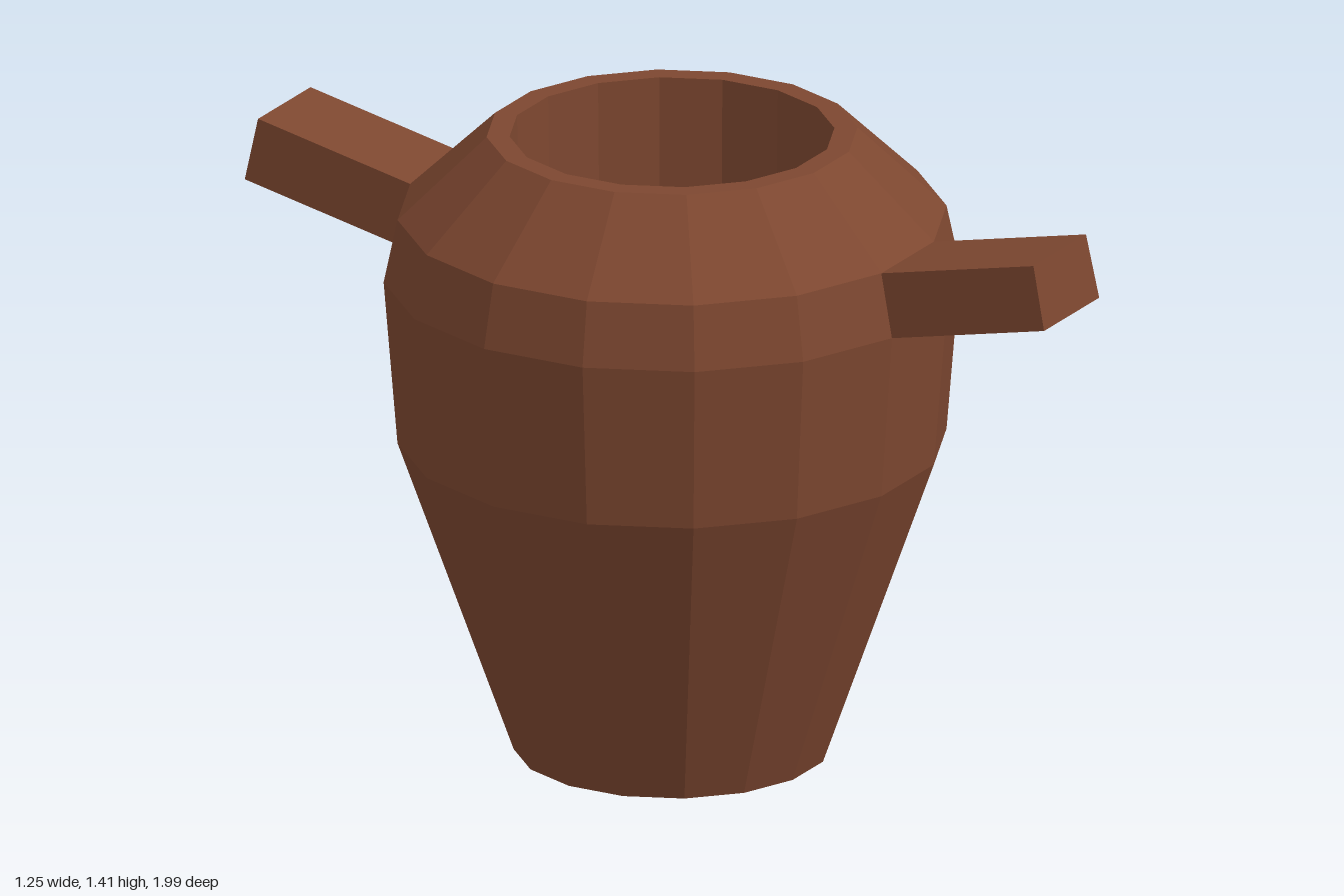
import * as THREE from 'three';

const SIDES = 16;
const clay = new THREE.MeshStandardMaterial({ color: 0x7d4730, flatShading: true });

// Point on a ring of the pot; angle 0 is the front (+z)
const ringPoint = (r, y, angle) =>
  new THREE.Vector3(r * Math.sin(angle), y, r * Math.cos(angle));

// Handle: one facet of the pot's belly pulled outward and upward
function handleGeometry() {
  const step = (Math.PI * 2) / SIDES;
  const pull = new THREE.Vector3(0.073, 0.083, 0.37);
  const geometry = new THREE.BoxGeometry(1, 1, 1);
  const pos = geometry.attributes.position;
  for (let i = 0; i < pos.count; i++) {
    const top = pos.getY(i) > 0;
    const p = ringPoint(top ? 0.595 : 0.625, top ? 1.222 : 1.08, pos.getX(i) > 0 ? step : 0);
    if (pos.getZ(i) > 0) p.add(pull);
    pos.setXYZ(i, p.x, p.y, p.z);
  }
  geometry.computeVertexNormals();
  return geometry;
}

export function createModel() {
  const group = new THREE.Group();
  group.name = 'pot';

  // Hollow body: base, belly, shoulder, rim, inner wall and floor
  const profile = [
    [0, 0], [0.343, 0], [0.595, 0.71], [0.625, 1.08], [0.595, 1.222],
    [0.402, 1.407], [0.352, 1.407], [0.33, 0.1], [0, 0.1],
  ].map(([r, y]) => new THREE.Vector2(r, y));
  const body = new THREE.Mesh(new THREE.LatheGeometry(profile, SIDES), clay);
  body.name = 'body';
  group.add(body);

  // Two handles, half a turn apart
  const geometry = handleGeometry();
  ['frontHandle', 'backHandle'].forEach((name, i) => {
    const handle = new THREE.Mesh(geometry, clay);
    handle.name = name;
    handle.rotation.y = i * Math.PI;
    group.add(handle);
  });

  return group;
}
